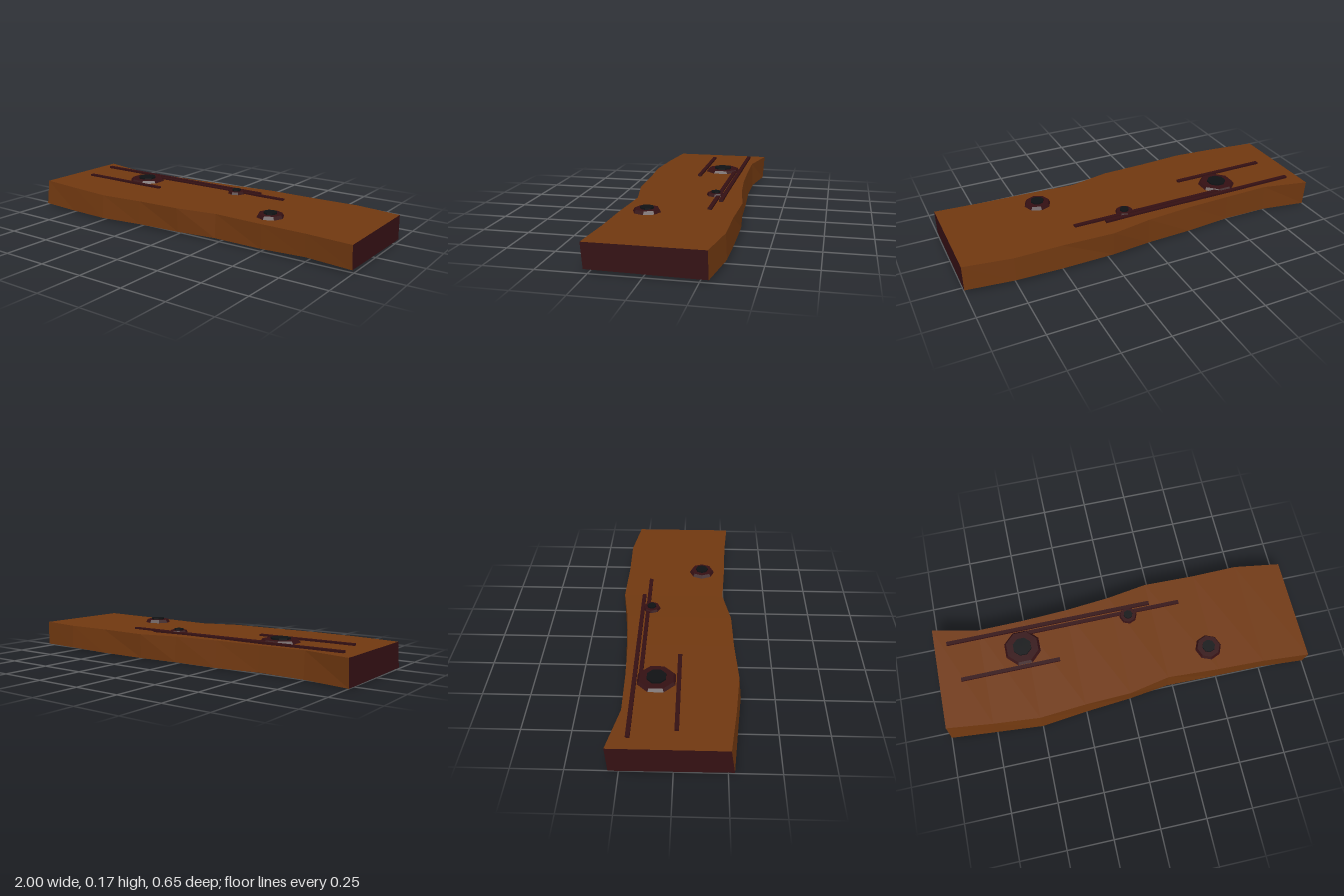
import * as THREE from 'three';

const wood = new THREE.MeshStandardMaterial({ name: 'brown wood', color: 0x703810, flatShading: true });
const dark = new THREE.MeshStandardMaterial({ name: 'dark end grain', color: 0x341013, flatShading: true });
const black = new THREE.MeshStandardMaterial({ name: 'knot black', color: 0x101214, flatShading: true });

// Cross-sections: x, back z (top, bottom), front z (top, bottom), top y, bottom y (back, front)
const sections = [
  [-1.0, -0.31, -0.30, 0.26, 0.28, 0.142, 0.0, 0.005],
  [-0.75, -0.255, -0.262, 0.29, 0.302, 0.143, 0.003, 0.006],
  [-0.5, -0.258, -0.265, 0.312, 0.325, 0.142, 0.008, 0.012],
  [-0.25, -0.268, -0.282, 0.293, 0.297, 0.144, 0.004, 0.014],
  [0, -0.29, -0.296, 0.284, 0.275, 0.145, 0.008, 0.012],
  [0.22, -0.325, -0.32, 0.24, 0.246, 0.142, 0.01, 0.012],
  [0.5, -0.318, -0.326, 0.255, 0.25, 0.144, 0.012, 0.013],
  [0.75, -0.322, -0.328, 0.262, 0.255, 0.145, 0.018, 0.025],
  [1.0, -0.285, -0.29, 0.28, 0.27, 0.145, 0.012, 0.02],
];

function plankGeometry() {
  // Corner order: back top, front top, front bottom, back bottom
  const rings = sections.map(([x, bt, bb, ft, fb, yt, yb, yf]) =>
    [[x, yt, bt], [x, yt, ft], [x, yf, fb], [x, yb, bb]]);
  const pos = [];
  const quad = (a, b, c, d) => pos.push(...a, ...b, ...c, ...a, ...c, ...d);
  for (let i = 0; i < rings.length - 1; i++) {
    const p = rings[i], q = rings[i + 1];
    for (let k = 0; k < 4; k++) {
      const n = (k + 1) % 4;
      quad(p[k], p[n], q[n], q[k]);
    }
  }
  const sideCount = pos.length / 3;
  const l = rings[0], r = rings[rings.length - 1];
  quad(l[0], l[3], l[2], l[1]);
  quad(r[0], r[1], r[2], r[3]);
  const g = new THREE.BufferGeometry();
  g.setAttribute('position', new THREE.Float32BufferAttribute(pos, 3));
  g.computeVertexNormals();
  g.addGroup(0, sideCount, 0);
  g.addGroup(sideCount, 12, 1);
  return g;
}

export function createModel() {
  const model = new THREE.Group();
  model.name = 'woodenPlank';
  const add = (geometry, material, name, x, y, z, parent = model) => {
    const mesh = new THREE.Mesh(geometry, material);
    mesh.name = name;
    mesh.position.set(x, y, z);
    parent.add(mesh);
    return mesh;
  };

  add(plankGeometry(), [wood, dark], 'plank', 0, 0, 0);

  // Raised grain lines: start x, end x, z, top y
  [[-0.93, 0.215, -0.21, 0.154], [-0.88, -0.335, 0.012, 0.153], [-0.5, 0.38, -0.18, 0.152]]
    .forEach(([x0, x1, z, top]) => {
      add(new THREE.BoxGeometry(x1 - x0, 0.018, 0.021), dark, 'grainLine', (x0 + x1) / 2, top - 0.009, z);
    });

  // Octagonal knots with dark centres: x, z, radius, ring top y, centre top y, turn
  [[-0.525, -0.1, 0.108, 0.157, 0.166, Math.PI / 8],
    [0.085, -0.16, 0.051, 0.158, 0.167, 0],
    [0.475, 0.12, 0.074, 0.161, 0.17, 0]]
    .forEach(([x, z, r, top, centre, turn]) => {
      const knot = new THREE.Group();
      knot.name = 'knot';
      knot.position.set(x, 0, z);
      knot.rotation.y = turn;
      model.add(knot);
      add(new THREE.CylinderGeometry(r * 0.85, r, 0.02, 8), dark, 'knotRing', 0, top - 0.01, 0, knot);
      add(new THREE.CylinderGeometry(r * 0.48, r * 0.48, 0.02, 8), black, 'knotCentre', 0, centre - 0.01, 0, knot);
    });

  return model;
}
